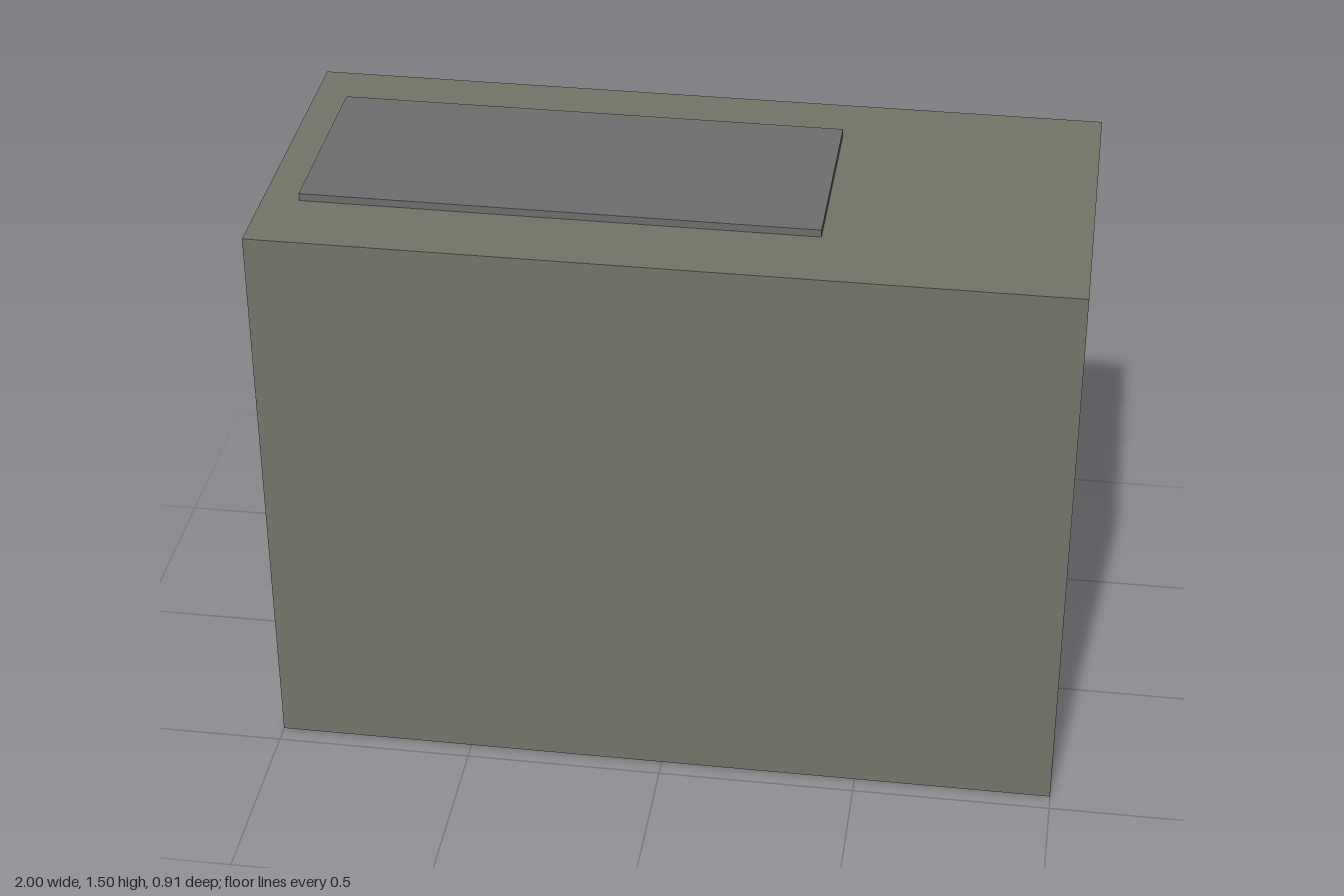
import * as THREE from 'three';

// Body extents
const H = 1.477, Z0 = -0.424, Z1 = 0.453;
// Grille opening on both ends
const OY0 = 0.125, OY1 = 1.352, OZ0 = -0.351, OZ1 = 0.383, DEPTH = 0.17;

export function createModel() {
  const model = new THREE.Group();
  model.name = 'ventilationUnit';
  const bodyMat = new THREE.MeshStandardMaterial({ color: 0x747468, flatShading: true });
  const panelMat = new THREE.MeshStandardMaterial({ color: 0x6e6e6e, flatShading: true });
  const darkMat = new THREE.MeshStandardMaterial({ color: 0x33322e, flatShading: true });

  const add = (name, geometry, material, x, y, z, parent = model) => {
    const mesh = new THREE.Mesh(geometry, material);
    mesh.name = name;
    mesh.position.set(x, y, z);
    parent.add(mesh);
    return mesh;
  };

  // Rectangle path in the end plane; shape x runs along -z
  const rect = (path, z0, z1, y0, y1) => {
    path.moveTo(-z1, y0);
    path.lineTo(-z0, y0);
    path.lineTo(-z0, y1);
    path.lineTo(-z1, y1);
    path.closePath();
    return path;
  };

  // Casing: rectangular sleeve along x, open at both ends
  const profile = rect(new THREE.Shape(), Z0, Z1, 0, H);
  profile.holes.push(rect(new THREE.Path(), OZ0, OZ1, OY0, OY1));
  const casing = new THREE.ExtrudeGeometry(profile, { depth: 2, bevelEnabled: false });
  casing.translate(0, 0, -1).rotateY(Math.PI / 2);
  add('casing', casing, bodyMat, 0, 0, 0);

  // Solid core whose ends form the back walls of the recesses
  const oh = OY1 - OY0, oy = (OY0 + OY1) / 2;
  add('core', new THREE.BoxGeometry(2 - 2 * DEPTH, oh, OZ1 - OZ0), bodyMat,
    0, oy, (OZ0 + OZ1) / 2);

  // Grilles of vertical bars, one in each end
  const bar = new THREE.CylinderGeometry(0.01, 0.01, oh, 8);
  for (const side of [1, -1]) {
    const grille = new THREE.Group();
    grille.name = side > 0 ? 'leftGrille' : 'rightGrille';
    for (let i = 0; i < 16; i++) {
      add('grilleBar', bar, darkMat, side * 0.975, oy, 0.354 - i * 0.0447, grille);
    }
    model.add(grille);
  }

  // Thin cover plate on top
  add('topPlate', new THREE.BoxGeometry(1.27, 0.02, 0.512), panelMat, -0.275, H + 0.009, -0.003);

  // Twelve-sided fan disc on the back
  const disc = new THREE.CylinderGeometry(0.448, 0.448, 0.03, 12);
  disc.rotateX(Math.PI / 2);
  add('fanDisc', disc, darkMat, 0.325, 0.753, Z0 - 0.014);

  return model;
}
